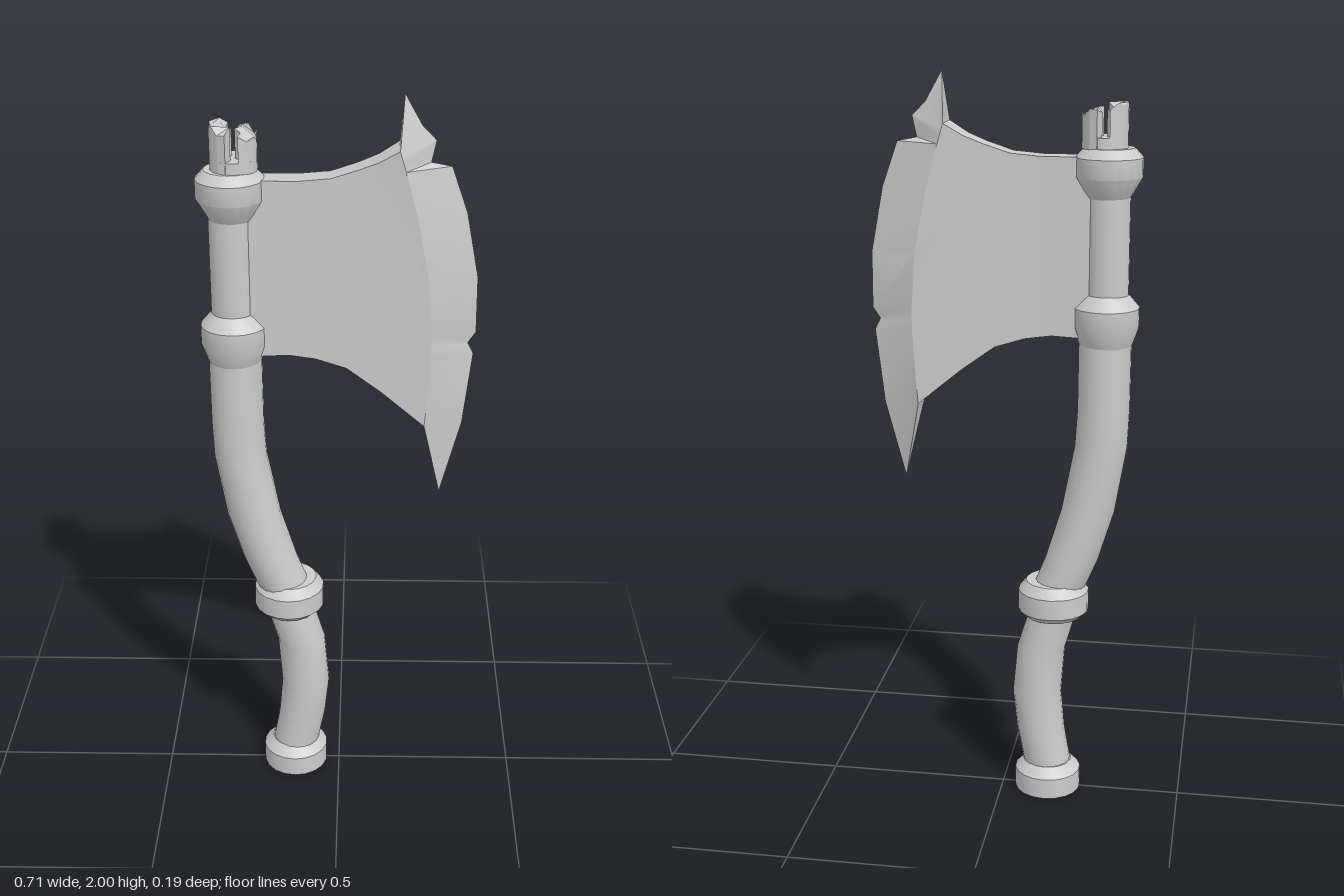
import * as THREE from 'three';
import { toCreasedNormals } from 'three/addons/utils/BufferGeometryUtils.js';

const material = new THREE.MeshStandardMaterial({ color: 0xcccccc, side: THREE.DoubleSide });

function part(name, geometry, crease = 0.6) {
  const mesh = new THREE.Mesh(toCreasedNormals(geometry, crease), material);
  mesh.name = name;
  return mesh;
}

// Capped round solid; each ring is [y, radius, centreX, centreZ]
function turned(name, rings, sides = 18) {
  const first = rings[0], last = rings[rings.length - 1];
  const all = [[first[0], 0, first[2], first[3]], ...rings, [last[0], 0, last[2], last[3]]];
  const geo = new THREE.LatheGeometry(all.map(([y, r]) => new THREE.Vector2(r, y)), sides);
  const pos = geo.attributes.position;
  for (let i = 0; i < pos.count; i++) {
    const ring = all[i % all.length];
    pos.setX(i, pos.getX(i) + ring[2]);
    pos.setZ(i, pos.getZ(i) + ring[3]);
  }
  return part(name, geo);
}

// Collar with a straight centre line
const collar = (name, x, z, profile) => turned(name, profile.map(([y, r]) => [y, r, x, z]));

// Blade: columns run from the handle to the ridge, then to the sharp edge
function createBlade() {
  const zMid = 0.007;
  // [top x, top y, bottom x, bottom y, half thickness, bulge]
  const columns = [
    [-0.23, 1.79, -0.23, 1.32, 0.034, 0],
    [-0.10, 1.79, -0.13, 1.325, 0.034, 0],
    [-0.02, 1.797, -0.06, 1.315, 0.034, 0],
    [0.05, 1.82, 0.02, 1.29, 0.036, 0.01],
    [0.10, 1.84, 0.11, 1.225, 0.041, 0.02],
    [0.15, 1.87, 0.225, 1.13, 0.049, 0.045],
  ];
  // [x, y, matching fraction down the ridge]
  const edge = [
    [0.16, 2.0, 0], [0.205, 1.92, 0.02], [0.24, 1.885, 0.04], [0.228, 1.83, 0.07],
    [0.28, 1.82, 0.1], [0.322, 1.70, 0.23], [0.354, 1.53, 0.45], [0.355, 1.38, 0.65],
    [0.335, 1.35, 0.69], [0.35, 1.32, 0.73], [0.327, 1.12, 0.92], [0.272, 0.91, 1],
  ];
  const cols = columns.length + 1, rows = edge.length;
  const vertices = [], index = [];
  for (const side of [1, -1]) {
    for (const [ex, ey, t] of edge) {
      for (const [tx, ty, bx, by, half, bulge] of columns) {
        const x = THREE.MathUtils.lerp(tx, bx, t) + bulge * Math.sin(Math.PI * t);
        vertices.push(x, THREE.MathUtils.lerp(ty, by, t), zMid + side * half);
      }
      vertices.push(ex, ey, zMid);
    }
  }
  const id = (side, row, col) => (side * rows + row) * cols + col;
  const quad = (a, b, c, d) => index.push(a, b, c, a, c, d);
  // Cheeks
  for (let r = 0; r < rows - 1; r++) {
    for (let c = 0; c < cols - 1; c++) {
      quad(id(0, r, c), id(0, r + 1, c), id(0, r + 1, c + 1), id(0, r, c + 1));
      quad(id(1, r, c), id(1, r, c + 1), id(1, r + 1, c + 1), id(1, r + 1, c));
    }
  }
  // Top and bottom rims
  for (let c = 0; c < cols - 1; c++) {
    const b = rows - 1;
    quad(id(0, 0, c), id(0, 0, c + 1), id(1, 0, c + 1), id(1, 0, c));
    quad(id(0, b, c), id(1, b, c), id(1, b, c + 1), id(0, b, c + 1));
  }
  const geo = new THREE.BufferGeometry();
  geo.setAttribute('position', new THREE.Float32BufferAttribute(vertices, 3));
  geo.setIndex(index);
  return part('blade', geo, 0.45);
}

// Half of the splintered handle end, with a zigzag split and a ragged top
function createSplinter(name, side, height) {
  const radius = 0.06, outline = [];
  for (let i = 0; i <= 7; i++) {
    const a = -1.3 + (2.6 * i) / 7;
    outline.push(new THREE.Vector2(side * radius * Math.cos(a), radius * Math.sin(a)));
  }
  [0.035, 0.015, -0.01, -0.03].forEach((v, i) => {
    const zigzag = i % 2 ? 0.008 : -0.008;
    outline.push(new THREE.Vector2(side * 0.013 + zigzag, v));
  });
  const geo = new THREE.ExtrudeGeometry(new THREE.Shape(outline), { depth: height, bevelEnabled: false });
  geo.rotateX(-Math.PI / 2);
  const pos = geo.attributes.position;
  for (let i = 0; i < pos.count; i++) {
    if (pos.getY(i) < height / 2) continue;
    const wave = Math.sin(pos.getX(i) * 170 + pos.getZ(i) * 110);
    pos.setY(i, height - 0.012 * (1 - wave));
  }
  geo.translate(-0.26, 1.81, 0.007);
  return part(name, geo, 0.3);
}

export function createModel() {
  const model = new THREE.Group();
  model.name = 'axe';
  const z = 0.008;

  // Curved handle
  model.add(
    turned('lowerGrip', [
      [0.04, 0.066, -0.132, 0.002], [0.1, 0.066, -0.122, 0.002], [0.18, 0.067, -0.107, 0.003],
      [0.29, 0.068, -0.096, 0.003], [0.43, 0.067, -0.107, 0.003], [0.56, 0.066, -0.145, 0.003],
    ]),
    turned('upperShaft', [
      [0.58, 0.07, -0.14, 0.004], [0.63, 0.072, -0.162, 0.005], [0.7, 0.073, -0.19, 0.006],
      [0.84, 0.073, -0.232, z], [1.02, 0.071, -0.264, z], [1.12, 0.07, -0.269, z],
      [1.32, 0.07, -0.27, z],
    ]),
    turned('headShaft', [[1.38, 0.057, -0.272, z], [1.75, 0.057, -0.272, z]]),
    turned('brokenEndBase', [[1.78, 0.06, -0.262, z], [1.84, 0.059, -0.26, z]], 14),
  );

  // Pommel and collars
  model.add(
    collar('pommel', -0.128, 0, [[0, 0.092], [0.058, 0.092], [0.085, 0.066]]),
    collar('gripCollar', -0.14, 0, [[0.53, 0.078], [0.548, 0.097], [0.605, 0.097], [0.632, 0.076]]),
    collar('lowerHeadCollar', -0.271, z, [[1.3, 0.07], [1.348, 0.087], [1.4, 0.087], [1.435, 0.057]]),
    collar('upperHeadCollar', -0.271, z, [[1.685, 0.057], [1.738, 0.088], [1.788, 0.088], [1.812, 0.066]]),
  );

  // Splintered end and blade
  model.add(
    createSplinter('leftSplinter', 1, 0.105),
    createSplinter('rightSplinter', -1, 0.117),
    createBlade(),
  );
  return model;
}
